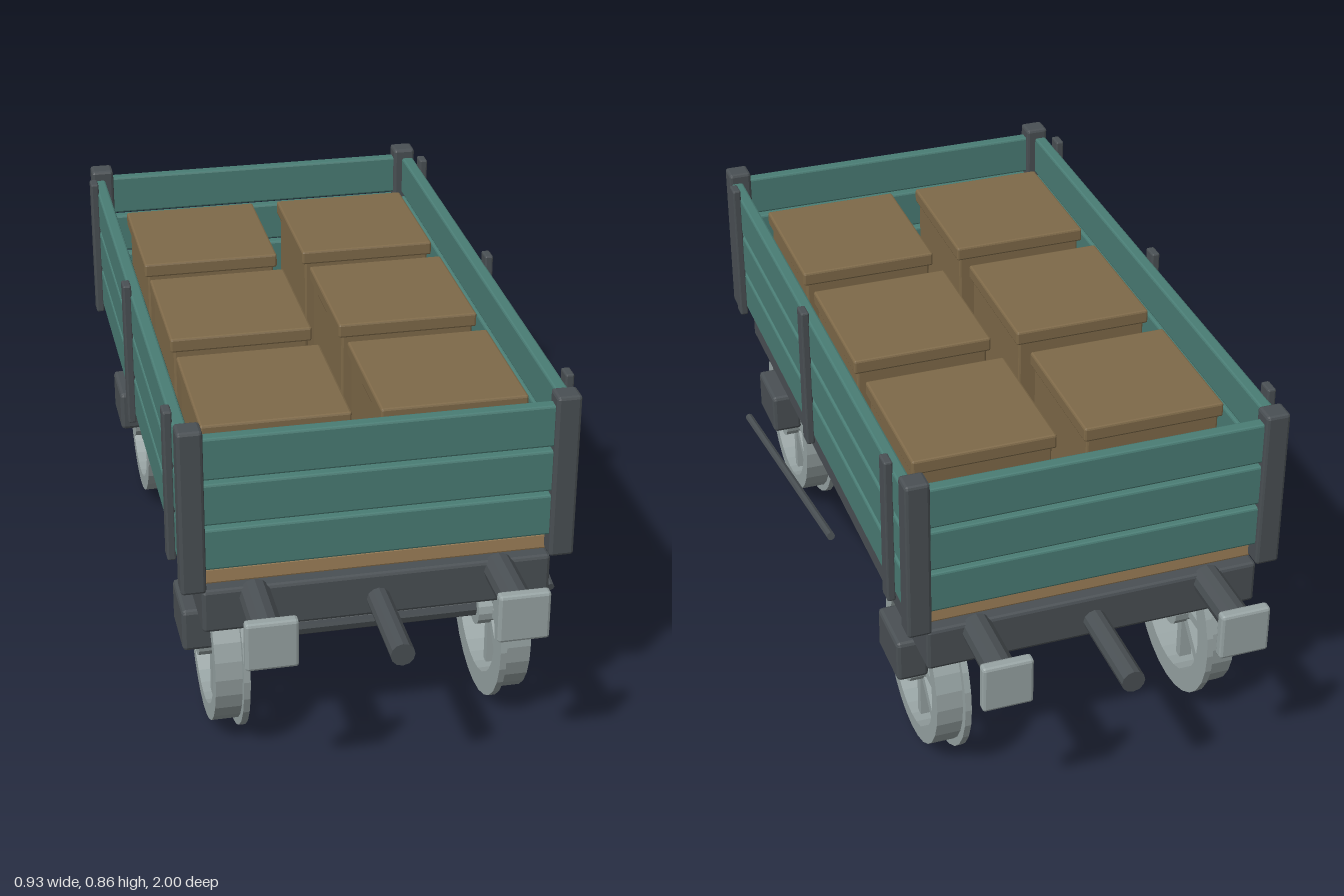
import * as THREE from 'three';
import { RoundedBoxGeometry } from 'three/addons/geometries/RoundedBoxGeometry.js';

const paint = (color) => new THREE.MeshStandardMaterial({ color, flatShading: true });
const teal = paint(0x4a7d75);
const iron = paint(0x4a5054);
const steel = paint(0x98a4a4);
const wood = paint(0x9e8159);
const crateWood = paint(0x7f6a49);

function add(parent, name, geometry, material, x = 0, y = 0, z = 0) {
  const mesh = new THREE.Mesh(geometry, material);
  mesh.name = name;
  mesh.position.set(x, y, z);
  parent.add(mesh);
  return mesh;
}

// Box with chamfered edges
const block = (w, h, d, bevel = 0.005) => new RoundedBoxGeometry(w, h, d, 1, bevel);

// Flanged, spoked wheel; local +y points outwards along the axle
function makeWheel() {
  const wheel = new THREE.Group();
  wheel.name = 'wheel';
  const rim = [[0.16, 0.288], [0.215, 0.288], [0.215, 0.303], [0.197, 0.303],
    [0.197, 0.364], [0.16, 0.364], [0.16, 0.288]].map(([r, y]) => new THREE.Vector2(r, y));
  add(wheel, 'rim', new THREE.LatheGeometry(rim, 28), steel);
  add(wheel, 'hub', new THREE.CylinderGeometry(0.047, 0.047, 0.095, 16), steel, 0, 0.33, 0);
  for (let i = 0; i < 8; i++) {
    const a = (i * Math.PI) / 4;
    const spoke = add(wheel, 'spoke', new THREE.BoxGeometry(0.15, 0.03, 0.022), steel,
      Math.cos(a) * 0.1, 0.33, -Math.sin(a) * 0.1);
    spoke.rotation.y = a;
  }
  return wheel;
}

// Lidded crate with a diagonal brace on its front
function makeCrate() {
  const crate = new THREE.Group();
  crate.name = 'crate';
  add(crate, 'crateBody', block(0.318, 0.27, 0.335), crateWood, 0, 0.637, 0);
  add(crate, 'crateLid', block(0.335, 0.035, 0.352), crateWood, 0, 0.78, 0);
  const brace = add(crate, 'crateBrace', block(0.27, 0.035, 0.03, 0.004), crateWood, 0.005, 0.65, 0.178);
  brace.rotation.z = 0.69;
  return crate;
}

export function createModel() {
  const model = new THREE.Group();
  model.name = 'railWagon';
  const wagon = new THREE.Group();
  wagon.name = 'wagon';
  wagon.position.x = -0.0135;
  model.add(wagon);

  // Underframe and deck boards
  add(wagon, 'underframe', block(0.785, 0.106, 1.54, 0.008), iron, 0, 0.413, 0);
  for (let i = -4; i <= 4; i++) {
    add(wagon, 'deckBoard', block(0.826, 0.04, i % 4 || !i ? 0.156 : 0.146), wood, 0, 0.486, i * 0.1667);
  }

  // Plank walls
  for (let row = 0; row < 3; row++) {
    const y = 0.57 + row * 0.11;
    for (const s of [-1, 1]) {
      add(wagon, 'sidePlank', block(0.03, 0.1, 1.5), teal, s * 0.421, y, 0);
      add(wagon, 'endPlank', block(0.81, 0.1, 0.03), teal, 0, y, s * 0.756);
    }
  }

  for (const sx of [-1, 1]) {
    // Corner posts and side stakes
    for (const sz of [-1, 1]) {
      add(wagon, 'cornerPost', block(0.056, 0.395, 0.054, 0.007), iron, sx * 0.412, 0.667, sz * 0.757);
    }
    for (const z of [-0.66, 0, 0.66]) {
      add(wagon, 'sideStake', block(0.02, 0.365, 0.04, 0.004), iron, sx * 0.4435, 0.682, z);
    }

    // Wheels, axle boxes and buffers
    for (const sz of [-1, 1]) {
      const wheel = makeWheel();
      wheel.position.set(0, 0.215, sz * 0.55);
      wheel.rotation.z = -sx * Math.PI / 2;
      wagon.add(wheel);
      add(wagon, 'axleBox', block(0.075, 0.106, 0.15, 0.009), iron, sx * 0.381, 0.275, sz * 0.55);
      const rod = add(wagon, 'bufferRod', new THREE.CylinderGeometry(0.036, 0.036, 0.2, 12), iron,
        sx * 0.275, 0.442, sz * 0.855);
      rod.rotation.x = Math.PI / 2;
      add(wagon, 'bufferPlate', block(0.116, 0.116, 0.028, 0.007), steel, sx * 0.275, 0.44, sz * 0.956);
    }
  }

  for (const sz of [-1, 1]) {
    // Axles and drawbars
    const axle = add(wagon, 'axle', new THREE.CylinderGeometry(0.028, 0.028, 0.81, 10), iron, 0, 0.217, sz * 0.55);
    axle.rotation.z = Math.PI / 2;
    const bar = add(wagon, 'drawbar', new THREE.CylinderGeometry(0.027, 0.027, 0.25, 12), iron, 0, 0.403, sz * 0.875);
    bar.rotation.x = Math.PI / 2;
  }

  // Brake lever on the left side
  const from = new THREE.Vector3(0.4695, 0.238, 0.548);
  const to = new THREE.Vector3(0.4695, 0.403, -0.272);
  const lever = add(wagon, 'brakeLever', new THREE.CylinderGeometry(0.01, 0.01, from.distanceTo(to), 8), iron);
  lever.position.lerpVectors(from, to, 0.5);
  lever.quaternion.setFromUnitVectors(new THREE.Vector3(0, 1, 0), to.clone().sub(from).normalize());

  // Cargo
  for (const x of [-0.2, 0.2]) {
    for (let i = -1; i <= 1; i++) {
      const crate = makeCrate();
      crate.position.set(x, 0, 0.016 + i * 0.44);
      wagon.add(crate);
    }
  }
  return model;
}
